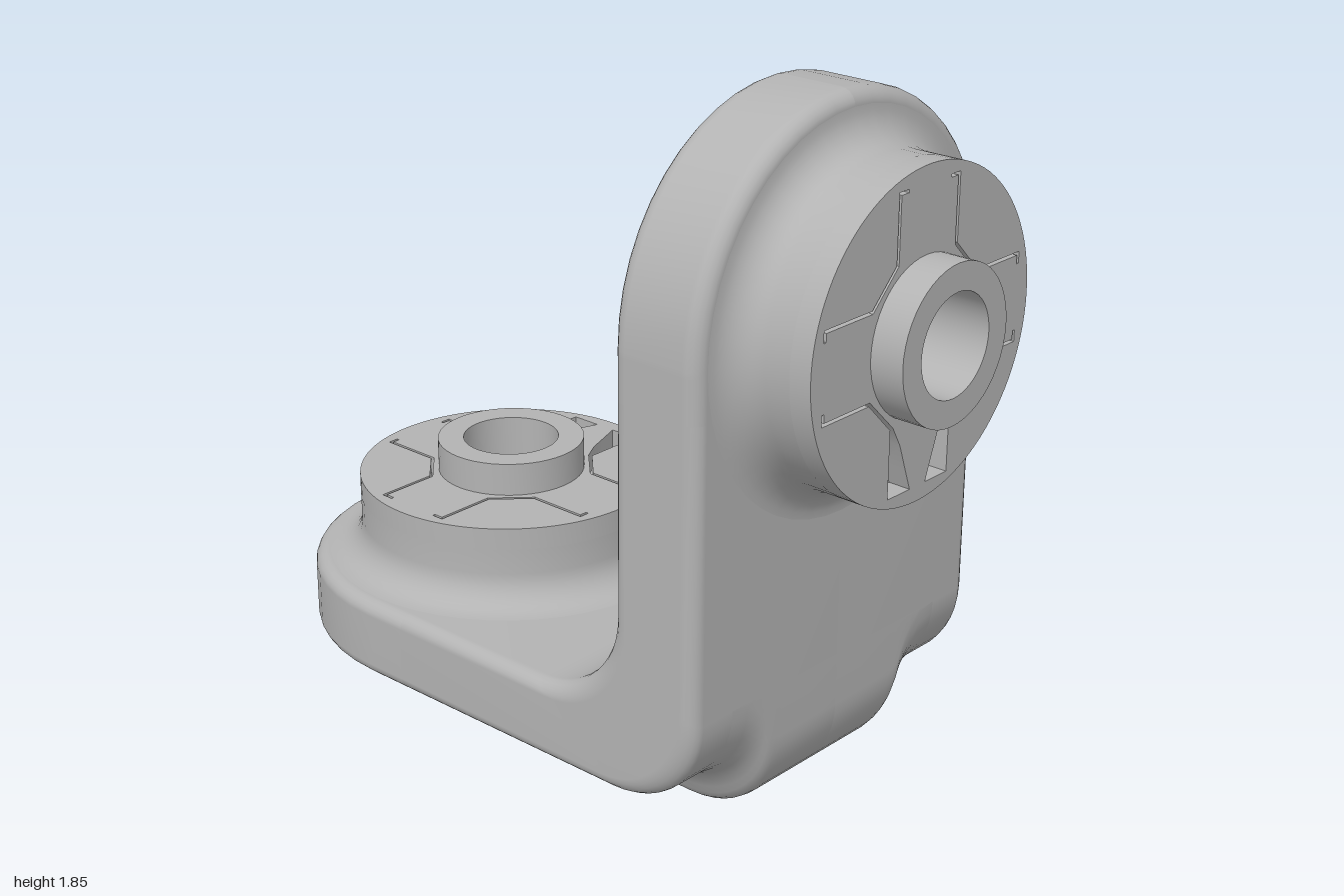
import * as THREE from 'three';
import { toCreasedNormals } from 'three/addons/utils/BufferGeometryUtils.js';

const R = 0.545, EDGE = 0.04, BORE = 0.13, N = 12;
const QUARTER = Math.PI / 2;
const UP_C = 1.3, BACK_C = -0.455;            // centres of the two rounded ends

// A station is one cross-section of the half plate: outer and inner base points
// as [y, z], the sweep direction at rounded ends, and the hole's half-width.
const station = (o, i, r0 = 0, a = 0, dir = [0, 0]) => ({ o, i, r0, c: Math.cos(a), s: Math.sin(a), dir });

function armEnd(at, dir, centre) {            // from the tip inwards, past the hole
  const list = [];
  for (let k = N; k >= 0; k--) list.push(station(centre, centre, BORE, k / N * QUARTER, dir));
  for (let k = 1; k <= N; k++) {
    const a = k / N * QUARTER, p = at(BORE * Math.sin(a));
    list.push(station(p, p, k === N ? 0 : BORE * Math.cos(a)));
  }
  return list;
}

const bend = [];
for (let k = 0; k <= N; k++) {
  const c = Math.cos(k / N * QUARTER), s = Math.sin(k / N * QUARTER);
  bend.push(station([0.40 - 0.26 * s, 0.43 + 0.26 * c], [0.625 - 0.27 * s, 0.16 + 0.27 * c]));
}
// base points carry only the coordinate along the arm; the faces fill in the other
const face = (list, fill) => list.map((t) => ({ ...t, ...fill(t) }));
const upArm = face(armEnd((d) => [UP_C - d, 0], [1, 0], [UP_C, 0]),
  (t) => ({ o: [t.o[0], 0.69], i: [t.i[0], 0.43] }));
const backArm = face(armEnd((d) => [0, BACK_C + d], [0, -1], [0, BACK_C]),
  (t) => ({ o: [0.14, t.o[1]], i: [0.355, t.i[1]] })).reverse();

// Sweeps a half profile down the +x side and back up the mirrored side
function sweep(stations, profile, drop) {
  const pos = [], index = [], m = profile.length;
  const add = (t, side) => profile.forEach(([r, v, d = 0]) => {
    const q = r === null ? t.r0 : r;
    const y = t.o[0] + (t.i[0] - t.o[0]) * v + q * t.s * t.dir[0];
    const z = t.o[1] + (t.i[1] - t.o[1]) * v + q * t.s * t.dir[1];
    pos.push(side * q * t.c, y - (t.flat ? 0 : d), z);
  });
  stations.forEach((t) => add(t, 1));
  [...stations].reverse().forEach((t) => add(t, -1));
  for (let a = 0; a < stations.length * 2 - 1; a++) {
    for (let b = 0; b < m - 1; b++) {
      const p = a * m + b;
      index.push(p, p + m, p + 1, p + 1, p + m, p + m + 1);
    }
  }
  const g = new THREE.BufferGeometry();
  g.setAttribute('position', new THREE.Float32BufferAttribute(pos, 3));
  g.setIndex(index);
  g.computeVertexNormals();
  return g;
}

// Rounded-edge plate bent into an L
function bracketGeometry() {
  const half = [], fv = EDGE / 0.24, steps = 5;
  for (let k = 0; k <= steps; k++) {
    const a = k / steps * QUARTER;
    half.push([R - EDGE + EDGE * Math.sin(a), fv * (1 - Math.cos(a))]);
  }
  const inner = half.map(([r, v]) => [r, 1 - v]).reverse();
  return sweep([...upArm, ...bend, ...backArm], [[null, 0], ...half, ...inner, [null, 1]]);
}

// Flared rib under the foot, running up around the outer bend
function ribGeometry() {
  const profile = [[0.215, 0.14], [0.235, 0.136], [0.25, 0.126], [0.262, 0.108], [0.272, 0.085],
    [0.288, 0.057], [0.312, 0.03], [0.345, 0.01], [0.40, 0]].map(([r, d]) => [r, 0, d]);
  return sweep([{ ...bend[0], flat: true }, ...bend, ...backArm], [[null, 0, 0.14], ...profile]);
}

// Mounting hub along local z: flared base, raised collar and stepped bore
function hubGeometry(depth) {
  const pts = [];
  for (let k = 0; k <= 8; k++) {
    const a = (1 - k / 8) * QUARTER;
    pts.push([0.505 - 0.09 * Math.cos(a), 0.09 - 0.09 * Math.sin(a)]);
  }
  pts.push([0.415, 0.16], [0.2, 0.16], [0.2, 0.31], [BORE, 0.31], [BORE, -0.02],
    [0.075, -0.02], [0.075, -0.12], [BORE, -0.12], [BORE, -depth]);
  const g = new THREE.LatheGeometry(pts.map(([x, y]) => new THREE.Vector2(x, y)), 48);
  g.rotateX(QUARTER);
  return toCreasedNormals(g, 0.6);
}

// Top layer of the hub with thin key grooves and two tapered pockets
function keyDiscGeometry() {
  const groove = [[0.08, 0.372], [0.115, 0.372], [0.115, 0.2], [0.2, 0.115], [0.372, 0.115], [0.372, 0.085],
    [0.364, 0.085], [0.364, 0.107], [0.197, 0.107], [0.107, 0.197], [0.107, 0.364], [0.08, 0.364]];
  const pocket = [[0.03, 0.375], [0.115, 0.375], [0.115, 0.2], [0.2, 0.115], [0.372, 0.115], [0.372, 0.085],
    [0.364, 0.085], [0.364, 0.107], [0.197, 0.107], [0.105, 0.197], [0.075, 0.25], [0.05, 0.32]];
  const disc = new THREE.Shape().absarc(0, 0, 0.415, 0, Math.PI * 2);
  disc.holes.push(new THREE.Path().absarc(0, 0, 0.19, 0, Math.PI * 2));
  for (const sx of [1, -1]) {
    for (const [pts, sy] of [[groove, 1], [pocket, -1]]) {
      disc.holes.push(new THREE.Path(pts.map(([x, y]) => new THREE.Vector2(sx * x, sy * y))));
    }
  }
  const g = new THREE.ExtrudeGeometry(disc, { depth: 0.06, bevelEnabled: false, curveSegments: 48 });
  g.translate(0, 0, 0.16);
  return toCreasedNormals(g, 0.3);
}

export function createModel() {
  const grey = new THREE.MeshStandardMaterial({ color: 0xb3b3b3 });
  grey.name = 'grey';
  const model = new THREE.Group();
  model.name = 'angleBracket';

  const mesh = (name, geometry, parent) => {
    const part = new THREE.Mesh(geometry, grey);
    part.name = name;
    parent.add(part);
  };
  mesh('bentPlate', bracketGeometry(), model);
  mesh('bottomRib', ribGeometry(), model);

  const hub = (name, depth) => {
    const g = new THREE.Group();
    g.name = name;
    mesh('hubBody', hubGeometry(depth), g);
    mesh('keyDisc', keyDiscGeometry(), g);
    model.add(g);
    return g;
  };
  hub('frontHub', 0.26).position.set(0, UP_C, 0.69);
  const top = hub('topHub', 0.355);
  top.position.set(0, 0.355, BACK_C);
  top.rotation.set(-QUARTER, QUARTER, 0, 'YXZ');
  return model;
}
